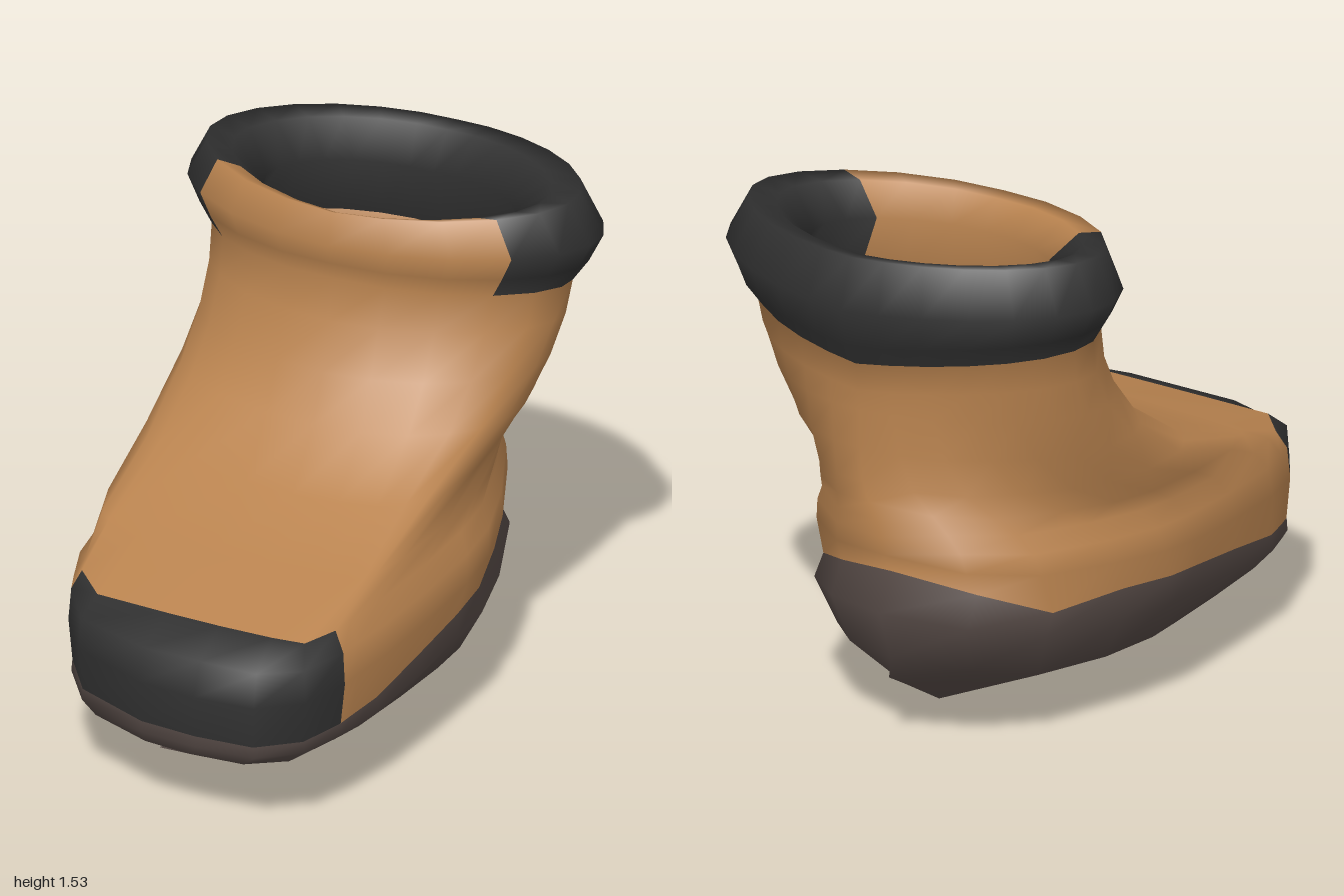
import * as THREE from 'three';

const mat = (name, color) => {
  const m = new THREE.MeshStandardMaterial({ color, side: THREE.DoubleSide });
  m.name = name;
  return m;
};
const lerp = THREE.MathUtils.lerp;

// piecewise linear lookup in [key, value] pairs with falling keys
function lookup(table, k) {
  if (k >= table[0][0]) return table[0][1];
  for (let i = 1; i < table.length; i++) {
    const [k0, v0] = table[i - 1], [k1, v1] = table[i];
    if (k >= k1) return lerp(v0, v1, (k0 - k) / (k0 - k1));
  }
  return table[table.length - 1][1];
}

// foot outline from toe to heel: z, x on the right side, x on the left side
const outline = [
  [1.0, 0.2, 0.2], [0.985, 0, 0.4], [0.88, -0.27, 0.52], [0.72, -0.4, 0.56],
  [0.66, -0.43, 0.565], [0.53, -0.49, 0.58], [0.27, -0.55, 0.58], [0.02, -0.6, 0.57],
  [-0.15, -0.63, 0.55], [-0.38, -0.62, 0.47], [-0.67, -0.57, 0.33], [-0.87, -0.43, 0.1],
  [-0.96, -0.16, -0.16],
];
const S = outline.length - 1, N = 2 * S;

// heights by z: keel, chine, side bulge, and the line where sole meets upper
const keelY = [[0.93, 0.2], [0.86, 0.18], [0.75, 0.2], [0.62, 0.19], [0.5, 0], [0.28, 0.01],
  [0.07, 0.06], [-0.13, 0.07], [-0.34, 0.01], [-0.63, 0.04], [-0.9, 0.19]];
const chineY = [[1, 0.205], [0.5, 0.2], [-0.6, 0.19], [-0.96, 0.26]];
const bulgeY = [[1, 0.25], [0.5, 0.27], [0, 0.32], [-0.6, 0.34], [-0.96, 0.43]];
const rimY = [[1, 0.285], [0.7, 0.3], [0.5, 0.32], [0.2, 0.37], [-0.35, 0.43], [-0.72, 0.42], [-0.95, 0.55]];
const keelX = [[0.5, 0.05], [-0.34, -0.07], [-0.9, -0.12]];

// upper: front limit of the foot outline, blend to the ankle ring, front y, back y, right and left width
const upperRows = [
  [1, 0.003, 0.42, 0.6, 1, 1], [0.96, 0.01, 0.52, 0.65, 0.99, 0.98], [0.83, 0.03, 0.575, 0.7, 0.93, 0.91],
  [0.646, 0.18, 0.65, 0.745, 0.99, 0.88], [0.565, 0.5, 0.75, 0.8, 1.02, 0.83], [0.56, 0.78, 0.89, 0.9, 1.02, 0.9],
  [0.65, 0.92, 1.02, 1.02, 1, 0.95], [1, 1, 1.16, 1.08, 1, 0.985],
];
// collar: half width, front z, back z, front y, back y
const collarRows = [
  [0.59, -0.195, -0.91, 1.29, 1.17], [0.635, -0.17, -0.96, 1.35, 1.24], [0.68, -0.16, -0.985, 1.41, 1.36],
  [0.61, -0.18, -0.94, 1.515, 1.52], [0.52, -0.215, -0.88, 1.5, 1.51],
  [0.41, -0.275, -0.8, 1.41, 1.4], [0.5, -0.24, -0.86, 1.24, 1.2],
];

// slightly pointed ellipse, turned a little toward the right side
function ring(w, zf, zb, a) {
  const q = a + 0.18 * Math.sin(a);
  const soft = (v) => Math.sign(v) * Math.abs(v) ** 1.08;
  const x = w * soft(Math.sin(q));
  return [x, (zf + zb) / 2 + ((zf - zb) / 2) * soft(Math.cos(q)) - 0.04 * x];
}

export function createModel() {
  const group = new THREE.Group();
  group.name = 'boot';
  const tan = mat('tan leather', 0xb9834f);
  const black = mat('black trim', 0x303030);
  const brown = mat('dark brown sole', 0x574b47);

  // every row is one closed loop of N points, front to left to back to right
  const rows = [];
  const addRow = (f) => {
    const row = [];
    for (let j = 0; j < N; j++) {
      const left = j <= S, s = left ? j : N - j;
      const [z, xr, xl] = outline[s];
      row.push(f({ z, x: left ? xl : xr, t: s / S, a: (j / N) * Math.PI * 2, left }));
    }
    rows.push(row);
  };

  // sole rows: keel, chine, bulge, rim
  addRow(({ z }) => [lookup(keelX, z), lookup(keelY, z * 0.94), z * 0.94]);
  addRow(({ x, z }) => [x * 0.85, Math.max(lookup(chineY, z), lookup(keelY, z) + 0.01), z * 0.955]);
  addRow(({ x, z }) => [x * 0.98, lookup(bulgeY, z), z * (z > 0 ? 0.98 : 1.04)]);
  addRow(({ x, z }) => [x * 0.97, lookup(rimY, z), z * 0.98]);
  const rim = rows.length - 1;

  // upper rows climb from the toe over the instep to the ankle
  for (const [front, b, yf, yb, wr, wl] of upperRows) {
    addRow(({ x, z, t, a, left }) => {
      const k = lerp(b, Math.cbrt(b), t * t);
      const [sx, sz] = ring(0.585, -0.165, -0.9, a);
      return [
        lerp(x, sx, k) * (left ? wl : wr),
        lerp(yf, yb, t * t),
        lerp(Math.min(z, front), sz, k),
      ];
    });
  }

  // collar rows roll outward and back into the opening
  const collar = rows.length;
  for (const [w, zf, zb, yf, yb] of collarRows) {
    addRow(({ t, a }) => {
      const [x, z] = ring(w, zf, zb, a);
      return [x, lerp(yf, yb, t) + 0.015 * Math.sin(t * Math.PI), z];
    });
  }

  // sort the faces of the loft into parts
  const parts = {
    sole: [brown, []], upper: [tan, []], toeCap: [black, []],
    collarBack: [black, []], collarFront: [tan, []],
  };
  const partAt = (k, j) => {
    const s = j < S ? j : N - 1 - j;
    if (k < rim) return 'sole';
    if (k >= collar) return s < 3 ? 'collarFront' : 'collarBack';
    return k < rim + 3 && s < 3 ? 'toeCap' : 'upper';
  };
  const all = [];
  for (let k = 0; k < rows.length - 1; k++) {
    for (let j = 0; j < N; j++) {
      const n = (j + 1) % N;
      const a = k * N + j, b = k * N + n, c = b + N, d = a + N;
      const faces = [a, b, c, a, c, d];
      parts[partAt(k, j)][1].push(...faces);
      all.push(...faces);
    }
  }

  // smooth normals are shared by all parts so that colour borders stay seamless
  const loft = new THREE.BufferGeometry();
  loft.setAttribute('position', new THREE.Float32BufferAttribute(rows.flat(2), 3));
  loft.setIndex(all);
  loft.computeVertexNormals();
  for (const [name, [material, index]] of Object.entries(parts)) {
    const g = loft.clone();
    g.setIndex(index);
    const mesh = new THREE.Mesh(g.toNonIndexed(), material);
    mesh.name = name;
    group.add(mesh);
  }
  return group;
}
